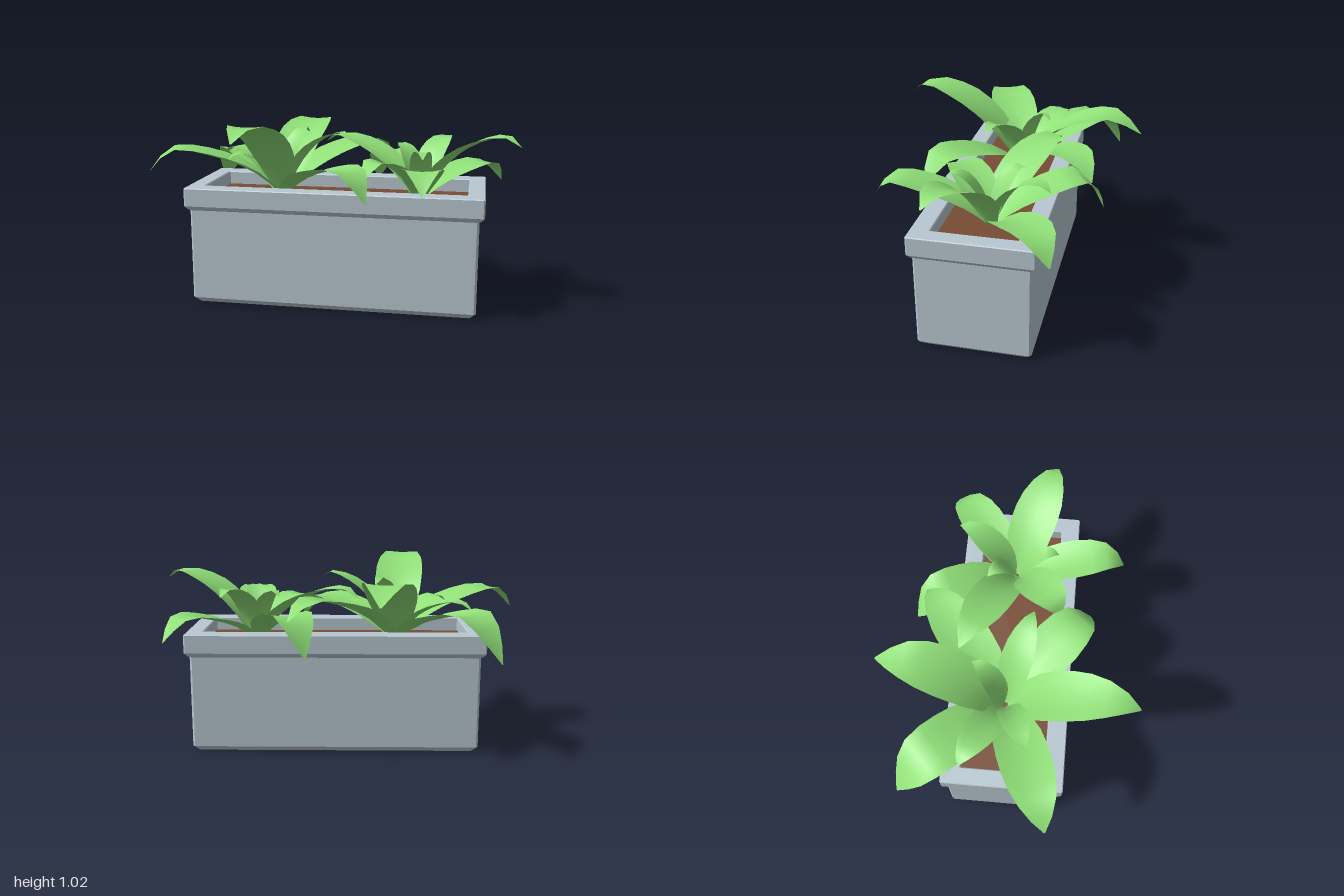
import * as THREE from 'three';

const SOIL_Y = 0.58;
const CX = 0.025, CZ = 0.02; // planter centre

const stone = new THREE.MeshStandardMaterial({ color: 0xb8c8d1, flatShading: true });
const earth = new THREE.MeshStandardMaterial({ color: 0x784d35 });
const green = new THREE.MeshStandardMaterial({ color: 0x90e078, side: THREE.DoubleSide });

// Indexed grid of rows; each row has the same number of points
function gridGeometry(rows, closed) {
  const n = rows[0].length, index = [];
  for (let r = 0; r < rows.length - 1; r++) {
    for (let i = 0; i < (closed ? n : n - 1); i++) {
      const j = (i + 1) % n;
      const a = r * n + i, b = r * n + j, c = a + n, d = b + n;
      index.push(a, c, b, b, c, d);
    }
  }
  const g = new THREE.BufferGeometry();
  g.setAttribute('position', new THREE.Float32BufferAttribute(rows.flat(2), 3));
  g.setIndex(index);
  return g;
}

// Rectangle ring with chamfered corners
function ring([hx, hz, y, c]) {
  const pts = [
    [hx, hz - c], [hx - c, hz], [c - hx, hz], [-hx, hz - c],
    [-hx, c - hz], [c - hx, -hz], [hx - c, -hz], [hx, c - hz],
  ];
  return pts.map(([x, z]) => [x, y, z]);
}

// Planter shell: base, chamfer, walls, rim and inner lip
function makePlanter() {
  const rings = [
    [0.001, 0.001, 0, 0], [0.75, 0.272, 0, 0.006], [0.78, 0.3, 0.03, 0.012],
    [0.78, 0.3, 0.53, 0.012], [0.79, 0.31, 0.535, 0.01], [0.806, 0.322, 0.555, 0.008],
    [0.806, 0.322, 0.65, 0.008], [0.802, 0.318, 0.655, 0.006],
    [0.72, 0.225, 0.655, 0.002], [0.715, 0.22, 0.65, 0.002], [0.715, 0.22, 0.55, 0.002],
  ];
  const g = gridGeometry(rings.map(ring), true).toNonIndexed();
  g.computeVertexNormals();
  const mesh = new THREE.Mesh(g, stone);
  mesh.name = 'planterBox';
  mesh.position.set(CX, 0, CZ);
  return mesh;
}

// Sample a short table of evenly spaced values
function sample(table, t) {
  const f = t * (table.length - 1), i = Math.min(Math.floor(f), table.length - 2);
  return THREE.MathUtils.lerp(table[i], table[i + 1], f - i);
}
const LEAF_WIDTH = [0.3, 0.55, 0.8, 0.95, 1, 1, 0.92, 0.72, 0.4, 0.03];

// Arching leaf: rises from the base to peakY at fraction f, then droops to the tip
function makeLeaf([cx, cz], [tx, ty, tz, peakY, f, width]) {
  const dir = new THREE.Vector3(tx - cx, 0, tz - cz);
  const len = dir.length();
  dir.normalize();
  const side = new THREE.Vector3(-dir.z, 0, dir.x);
  const rise = peakY - SOIL_Y;
  const path = new THREE.CatmullRomCurve3([
    [0.01 / len, SOIL_Y], [f * 0.25, SOIL_Y + rise * 0.47], [f * 0.58, SOIL_Y + rise * 0.82],
    [f, peakY], [(1 + f) / 2 + 0.01, peakY - (peakY - ty) * 0.4], [1, ty],
  ].map(([r, y]) => new THREE.Vector3(cx, y, cz).addScaledVector(dir, r * len)));

  const rows = [], steps = 9;
  for (let s = 0; s <= steps; s++) {
    const t = s / steps;
    const p = path.getPointAt(t);
    const up = new THREE.Vector3().crossVectors(side, path.getTangentAt(t)).normalize();
    const half = sample(LEAF_WIDTH, t) * width / 2;
    const cup = THREE.MathUtils.lerp(0.28, 0.04, t);
    const row = [];
    for (let i = -2; i <= 2; i++) {
      const u = i / 2;
      const q = p.clone().addScaledVector(side, u * half)
        .addScaledVector(up, cup * half * (u * u - 0.4));
      row.push(q.toArray());
    }
    rows.push(row);
  }
  const g = gridGeometry(rows, false);
  g.computeVertexNormals();
  const mesh = new THREE.Mesh(g, green);
  mesh.name = 'leaf';
  return mesh;
}

function makePlant(name, centre, leaves) {
  const plant = new THREE.Group();
  plant.name = name;
  leaves.forEach((l) => plant.add(makeLeaf(centre, l)));
  return plant;
}

export function createModel() {
  const model = new THREE.Group();
  model.add(makePlanter());

  const soil = new THREE.Mesh(new THREE.BoxGeometry(1.43, 0.02, 0.44), earth);
  soil.name = 'soil';
  soil.position.set(CX, SOIL_Y - 0.01, CZ);
  model.add(soil);

  // Leaf: tip x, y, z, peak height, peak fraction, width
  model.add(makePlant('rightPlant', [-0.31, 0], [
    [-0.2, 0.865, -0.69, 0.955, 0.76, 0.28],
    [-0.82, 0.555, -0.53, 0.78, 0.75, 0.28],
    [-1.0, 0.73, 0.26, 0.85, 0.82, 0.27],
    [-0.39, 0.955, 0.69, 1.025, 0.82, 0.27],
    [0.23, 0.63, 0.44, 0.785, 0.82, 0.27],
    [0.26, 0.76, -0.48, 0.855, 0.84, 0.27],
    [0.11, 0.92, 0.12, 0.95, 0.85, 0.17],
    [-0.71, 0.77, -0.21, 0.82, 0.82, 0.18],
    [-0.6, 0.78, 0.13, 0.82, 0.78, 0.15],
    [-0.19, 0.91, -0.18, 0.945, 0.8, 0.13],
  ]));
  model.add(makePlant('leftPlant', [0.47, 0], [
    [0.92, 0.63, -0.38, 0.75, 0.8, 0.24],
    [1.0, 0.905, 0.19, 0.955, 0.84, 0.25],
    [0.53, 0.71, 0.6, 0.815, 0.85, 0.23],
    [0.19, 0.71, 0.27, 0.81, 0.82, 0.22],
    [-0.1, 0.85, -0.26, 0.9, 0.85, 0.23],
    [0.17, 0.58, -0.54, 0.78, 0.8, 0.24],
    [0.62, 0.86, -0.33, 0.9, 0.82, 0.16],
    [0.5, 0.83, 0.23, 0.87, 0.78, 0.12],
    [0.33, 0.84, -0.15, 0.87, 0.8, 0.13],
  ]));
  return model;
}
